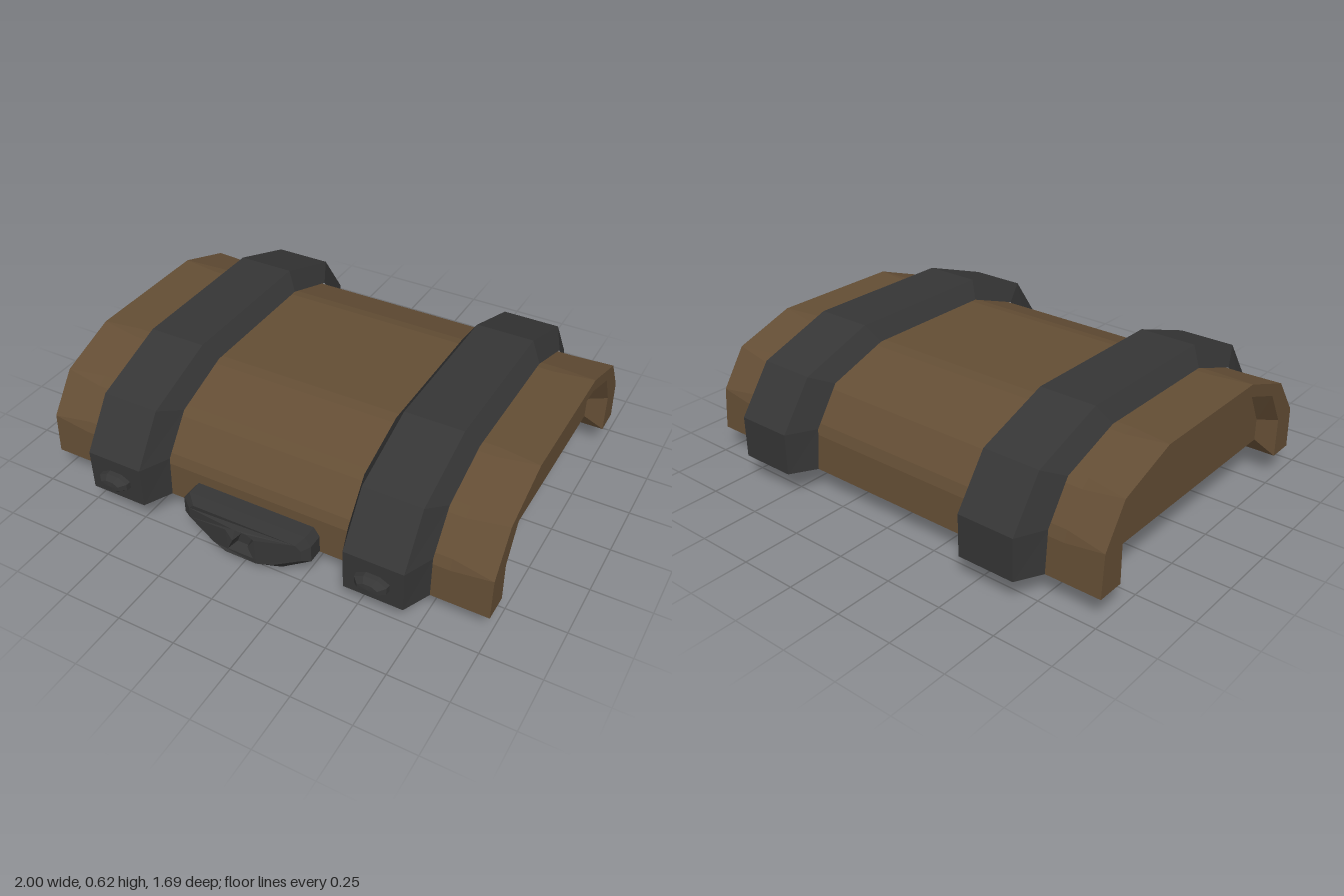
import * as THREE from 'three';

const wood = new THREE.MeshStandardMaterial({ color: 0x644e35 });
wood.name = 'brown wood';
const iron = new THREE.MeshStandardMaterial({ color: 0x363636 });
iron.name = 'dark iron';

const V = (x, y, z) => new THREE.Vector3(x, y, z);

// Faceted skin over a list of cross-sections with equal point counts.
function loft(sections, closed = false) {
  const pos = [];
  const tri = (a, b, c) => {
    const area = b.clone().sub(a).cross(c.clone().sub(a)).length();
    if (area > 1e-7) for (const p of [a, b, c]) pos.push(p.x, p.y, p.z);
  };
  for (let s = 0; s < sections.length - 1; s++) {
    const a = sections[s], b = sections[s + 1], n = a.length;
    for (let i = 0; i < (closed ? n : n - 1); i++) {
      const j = (i + 1) % n;
      tri(a[i], b[i], b[j]);
      tri(a[i], b[j], a[j]);
    }
  }
  const g = new THREE.BufferGeometry();
  g.setAttribute('position', new THREE.Float32BufferAttribute(pos, 3));
  g.computeVertexNormals();
  return g;
}

function flat(geometry) {
  const g = geometry.index ? geometry.toNonIndexed() : geometry;
  g.computeVertexNormals();
  return g;
}

function add(parent, name, geometry, material) {
  const m = new THREE.Mesh(geometry, material);
  m.name = name;
  parent.add(m);
  return m;
}

// Arch profiles as [z, y], front foot to back foot.
const OUTER = [[0.67, 0.11], [0.663, 0.29], [0.54, 0.455], [0.28, 0.548], [-0.33, 0.548], [-0.6, 0.455], [-0.71, 0.29], [-0.725, 0.11]];
const RIM = [[0.555, 0.11], [0.555, 0.28], [0.47, 0.425], [0.265, 0.5], [-0.32, 0.5], [-0.525, 0.425], [-0.605, 0.28], [-0.605, 0.11]];
const PANEL = [[0.52, 0.175], [0.52, 0.27], [0.45, 0.405], [0.255, 0.475], [-0.31, 0.475], [-0.505, 0.405], [-0.57, 0.27], [-0.57, 0.175]];
const STRAP = [[0.795, 0.12], [0.798, 0.3], [0.655, 0.505], [0.32, 0.622], [-0.37, 0.622], [-0.7, 0.505], [-0.845, 0.3], [-0.845, 0.12]];

const at = (profile, x) => profile.map(([z, y]) => V(x, y, z));

// Splits every inner corner in two, c apart from the corner.
function split(profile, x, c) {
  const p = at(profile, x), out = [p[0]];
  for (let i = 1; i < p.length - 1; i++) {
    for (const q of [p[i - 1], p[i + 1]]) {
      out.push(p[i].clone().add(q.clone().sub(p[i]).setLength(c)));
    }
  }
  out.push(p[p.length - 1]);
  return out;
}

function buildLid() {
  const lid = new THREE.Group();
  lid.name = 'lid';
  const end = 1, deep = 0.92, mid = 0.83;

  // Planked shell with raised end rims
  add(lid, 'shell', loft([
    split(PANEL, -deep, 0), split(RIM, -end, 0), split(OUTER, -end, 0), split(OUTER, -mid, 0.025),
    split(OUTER, mid, 0.025), split(OUTER, end, 0), split(RIM, end, 0), split(PANEL, deep, 0),
  ]), wood);

  // Recessed end panels
  for (const s of [1, -1]) {
    const shape = new THREE.Shape(PANEL.map(([z, y]) => new THREE.Vector2(-s * z, y)));
    const g = new THREE.ShapeGeometry(shape).rotateY(s * Math.PI / 2).translate(s * deep, 0, 0);
    add(lid, s > 0 ? 'leftEndPanel' : 'rightEndPanel', g, wood);
  }

  // Bottom edges of the front and back walls
  const edge = (s, rows) => loft(rows.map(([x, y, z]) => [V(-s * x, y, z), V(s * x, y, z)]));
  add(lid, 'frontEdge', edge(1, [[end, 0.11, 0.67], [end, 0.11, 0.555], [deep, 0.175, 0.52]]), wood);
  add(lid, 'backEdge', edge(-1, [[end, 0.11, -0.725], [end, 0.11, -0.605], [deep, 0.175, -0.57]]), wood);

  // Hollow underside
  const rect = (x, y, zf, zb) => [V(-x, y, zf), V(x, y, zf), V(x, y, zb), V(-x, y, zb)];
  const ceiling = rect(0.82, 0.42, 0.42, -0.47);
  add(lid, 'innerWalls', loft([rect(deep, 0.175, 0.52, -0.57), ceiling], true), wood);
  add(lid, 'innerCeiling', loft([[ceiling[0], ceiling[1]], [ceiling[3], ceiling[2]]]), wood);
  return lid;
}

function buildStrap(name, cx) {
  const strap = new THREE.Group();
  strap.name = name;
  const s = [at(OUTER, cx - 0.175), at(STRAP, cx - 0.125), at(STRAP, cx + 0.125), at(OUTER, cx + 0.175)];
  add(strap, 'band', loft(s), iron);
  // Closed feet of the band
  const f = s.map((p) => p[0]), b = s.map((p) => p[p.length - 1]);
  add(strap, 'frontFoot', loft([[f[1], f[2]], [f[0], f[3]]]), iron);
  add(strap, 'backFoot', loft([[b[0], b[3]], [b[1], b[2]]]), iron);
  // Flattened stud on the front
  const profile = [[0.075, 0], [0.072, 0.025], [0.045, 0.05], [0, 0.052]].map(([r, h]) => new THREE.Vector2(r, h));
  const stud = new THREE.LatheGeometry(profile, 8).rotateY(Math.PI / 8).scale(1, 1, 0.53)
    .rotateX(Math.PI / 2).translate(cx, 0.207, 0.793);
  add(strap, 'stud', flat(stud), iron);
  return strap;
}

function buildLatch() {
  const latch = new THREE.Group();
  latch.name = 'latch';
  const outline = [[0.295, 0.2], [0.27, 0.237], [-0.26, 0.237], [-0.29, 0.2], [-0.29, 0.125],
    [-0.15, 0.03], [-0.08, 0.003], [0.08, 0.003], [0.16, 0.03], [0.295, 0.125]];
  const face = outline.map(([x, y]) => [x * 0.88, 0.125 + (y - 0.125) * 0.65]);
  const keyhole = [[0.065, 0.165], [0.03, 0.182], [-0.03, 0.182], [-0.065, 0.165],
    [-0.035, 0.12], [-0.058, 0.068], [0.058, 0.068], [0.035, 0.12]];
  // The face bows slightly towards the centre
  const bow = (x) => 0.793 - 0.16 * Math.max(0, Math.abs(x) - 0.08);
  const loop = (pts, z) => pts.map(([x, y]) => V(x, y, z ?? bow(x)));
  const shape = (pts) => new THREE.Shape(pts.map(([x, y]) => new THREE.Vector2(x, y)));

  add(latch, 'latchSides', loft([loop(face), loop(outline, 0.745), loop(outline, 0.68)], true), iron);
  const front = shape(face);
  front.holes.push(shape(keyhole));
  const g = new THREE.ShapeGeometry(front), p = g.attributes.position;
  for (let i = 0; i < p.count; i++) p.setZ(i, bow(p.getX(i)));
  add(latch, 'latchFace', flat(g), iron);
  add(latch, 'latchBack', new THREE.ShapeGeometry(shape(outline.map(([x, y]) => [-x, y])))
    .rotateY(Math.PI).translate(0, 0, 0.68), iron);

  // Keyhole recess
  const floor = keyhole.map(([x, y]) => [x * 0.75, 0.122 + (y - 0.122) * 0.85]);
  add(latch, 'keyholeSides', loft([loop(floor, 0.745), loop(keyhole)], true), iron);
  add(latch, 'keyholeFloor', new THREE.ShapeGeometry(shape(floor)).translate(0, 0, 0.745), iron);
  return latch;
}

export function createModel() {
  const model = new THREE.Group();
  model.name = 'chestLid';
  model.add(buildLid(), buildStrap('leftStrap', 0.585), buildStrap('rightStrap', -0.585), buildLatch());
  return model;
}
